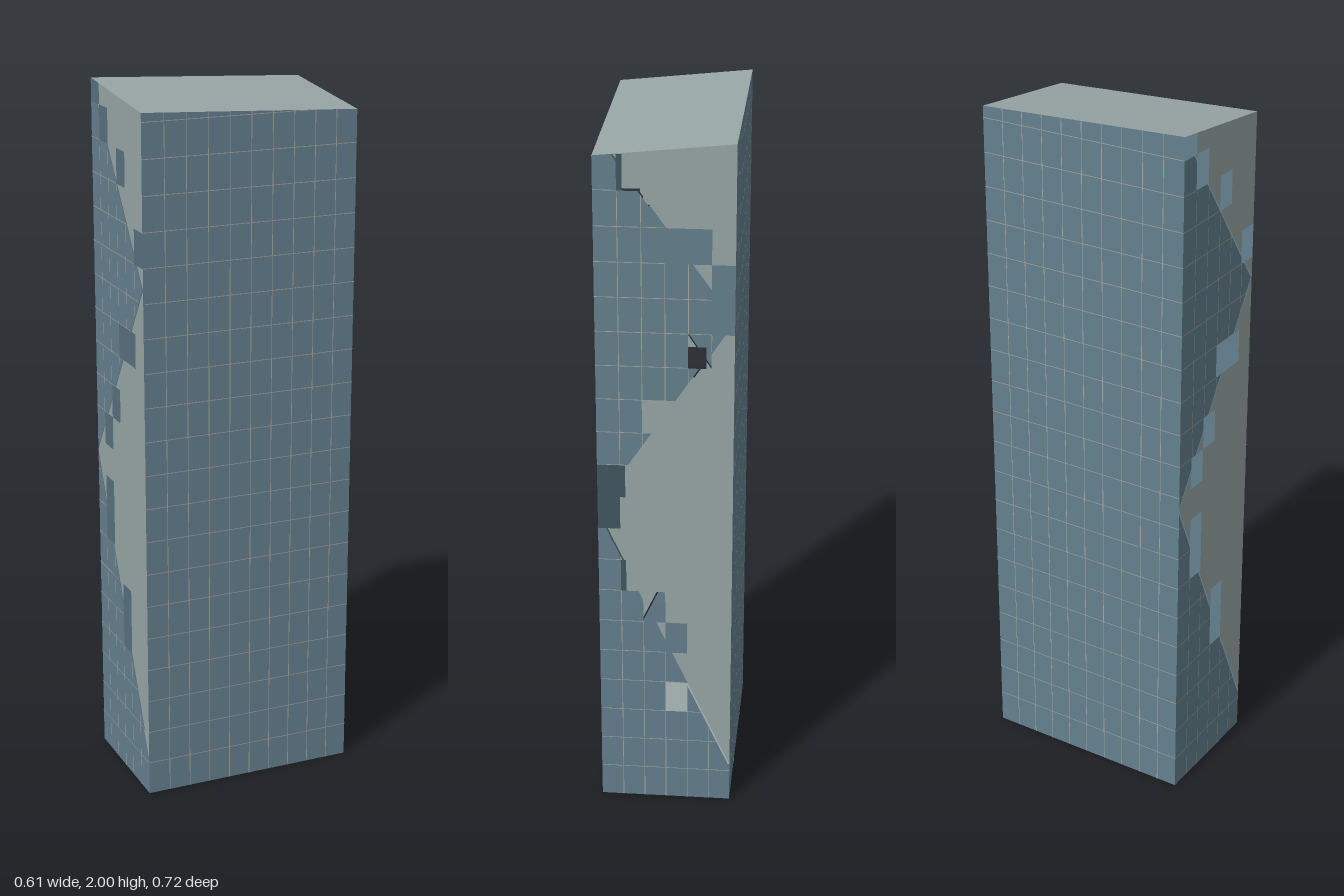
import * as THREE from 'three';

const glass = new THREE.MeshStandardMaterial({ name: 'blue glass', color: 0x64808e, side: THREE.DoubleSide });
const stone = new THREE.MeshStandardMaterial({ name: 'pale grey panel', color: 0x98a5a5, side: THREE.DoubleSide });
const trim = new THREE.MeshStandardMaterial({ name: 'beige joint', color: 0xaaa59a, side: THREE.DoubleSide });

const FLOOR = 0.0968, ROWS = 21, LINE = 0.002;
const roofY = (x) => 1.965 - 0.115 * x;

// Footprint corners [x, z], counter-clockwise seen from above
const D = [-0.303, 0.2], C = [0.031, 0.36], B = [0.303, -0.2], A = [-0.031, -0.36];

// Zigzag border between glass and panel: [height, column]
const ZIGZAG = [[0, 6], [0.12, 6], [0.93, 0], [1.49, 6], [2.01, 0]];

// Open window cells: [column, floor]
const FRONT_HOLES = [[0, 20], [1, 19], [3, 18], [5, 16], [3, 13], [4, 13], [2, 11], [1, 10], [1, 8], [1, 7], [3, 5], [3, 4]];
const BACK_HOLES = [[1, 19], [3, 17], [4, 17], [5, 16], [5, 15], [4, 14], [3, 12], [2, 12], [1, 10], [0, 10], [0, 9],
  [1, 7], [2, 6], [3, 5], [3, 3]];

// Keep the part of a convex polygon where a*u + b*v <= c
function clip(poly, a, b, c) {
  const out = [];
  poly.forEach((p, i) => {
    const q = poly[(i + 1) % poly.length];
    const dp = a * p[0] + b * p[1] - c, dq = a * q[0] + b * q[1] - c;
    if (dp <= 0) out.push(p);
    if (dp * dq < 0) {
      const t = dp / (dp - dq);
      out.push([p[0] + (q[0] - p[0]) * t, p[1] + (q[1] - p[1]) * t]);
    }
  });
  return out;
}

const rect = (u0, v0, u1, v1) => [[u0, v0], [u1, v0], [u1, v1], [u0, v1]];

function meshOf(name, polys, place, material) {
  const pos = [];
  for (const p of polys) {
    for (let i = 1; i < p.length - 1; i++) pos.push(...place(p[0]), ...place(p[i]), ...place(p[i + 1]));
  }
  const geo = new THREE.BufferGeometry();
  geo.setAttribute('position', new THREE.Float32BufferAttribute(pos, 3));
  geo.computeVertexNormals();
  const mesh = new THREE.Mesh(geo, material);
  mesh.name = name;
  return mesh;
}

// One wall from corner P to corner Q; u counts columns, v is height
function facade(name, P, Q, cols, holes) {
  const dx = Q[0] - P[0], dz = Q[1] - P[1], len = Math.hypot(dx, dz);
  const yP = roofY(P[0]), slope = (roofY(Q[0]) - yP) / cols;
  const place = (off) => ([u, v]) => [
    P[0] + (dx * u) / cols - (dz / len) * off, v, P[1] + (dz * u) / cols + (dx / len) * off];
  const underRoof = (poly) => clip(poly, -slope, 1, yP);

  // Split a rectangle along the zigzag into glass and panel pieces
  function split(poly, glassOut, panelOut) {
    if (!holes) {
      glassOut.push(underRoof(poly));
      return;
    }
    for (let i = 0; i < ZIGZAG.length - 1; i++) {
      const [v0, u0] = ZIGZAG[i], [v1, u1] = ZIGZAG[i + 1];
      const band = underRoof(clip(clip(poly, 0, -1, -v0), 0, 1, v1));
      if (band.length < 3) continue;
      const k = (u1 - u0) / (v1 - v0), c = u0 - k * v0;
      const gap = k === 0 ? 0 : 0.08; // narrow open slit along the border
      glassOut.push(clip(band, 1, -k, c - gap));
      if (panelOut) panelOut.push(clip(band, -1, k, -c));
    }
  }

  const blue = [], grey = [], lines = [];
  const lu = (LINE * cols) / len;
  for (let r = 0; r < ROWS; r++) {
    for (let c = 0; c < cols; c++) {
      if (holes && holes.some(([hc, hr]) => hc === c && hr === r)) continue;
      const v = r * FLOOR;
      split(rect(c, v, c + 1, v + FLOOR), blue, grey);
      if (r > 0) split(rect(c, v, c + 1, v + LINE), lines);
      if (c > 0) split(rect(c, v, c + lu, v + FLOOR), lines);
    }
  }
  const group = new THREE.Group();
  group.name = name;
  group.add(meshOf(name + 'Glass', blue, place(0), glass));
  group.add(meshOf(name + 'Joints', lines, place(0.001), trim));
  if (grey.length) group.add(meshOf(name + 'Panel', grey, place(0), stone));
  return group;
}

export function createModel() {
  const tower = new THREE.Group();
  tower.name = 'tower';

  // Narrow ends with the zigzag, long plain sides
  tower.add(facade('frontWall', D, C, 6, FRONT_HOLES));
  tower.add(facade('leftWall', C, B, 10, null));
  tower.add(facade('backWall', B, A, 6, BACK_HOLES));
  tower.add(facade('rightWall', A, D, 10, null));

  // Sloping roof and flat base
  tower.add(meshOf('roof', [[D, C, B, A]], ([x, z]) => [x, roofY(x), z], stone));
  tower.add(meshOf('base', [[A, B, C, D]], ([x, z]) => [x, 0, z], stone));
  return tower;
}
